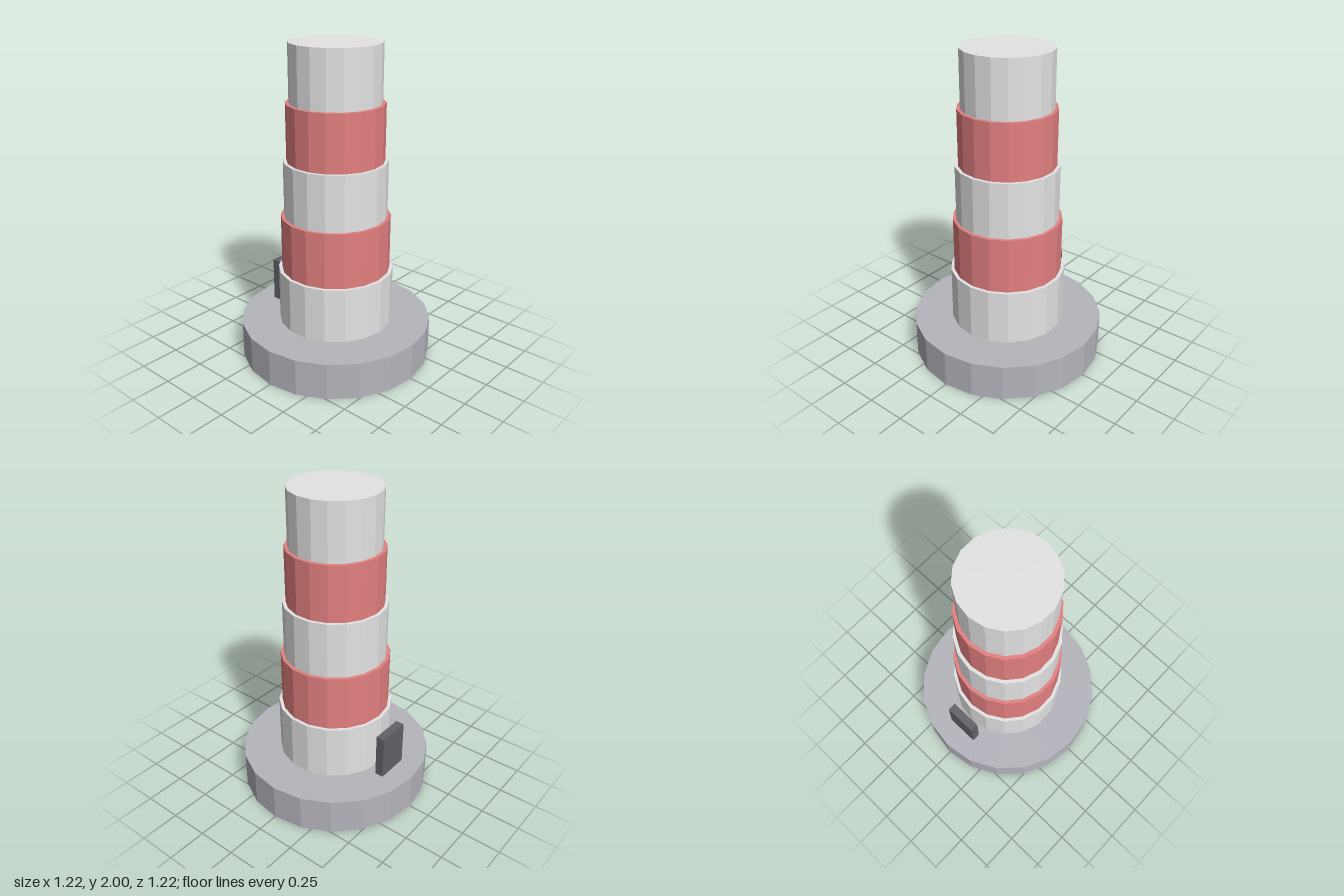
import * as THREE from 'three';

const material = (name, color) => {
  const m = new THREE.MeshStandardMaterial({ color, flatShading: true });
  m.name = name;
  return m;
};

export function createModel() {
  const group = new THREE.Group();
  group.name = 'lighthouse';
  const white = material('offWhite', 0xe4e4e4);
  const red = material('softRed', 0xe48080);
  const stone = material('stoneGrey', 0xb5b5bd);
  const dark = material('darkGrey', 0x636268);

  const add = (name, geometry, mat, y, z = 0) => {
    const mesh = new THREE.Mesh(geometry, mat);
    mesh.name = name;
    mesh.position.set(0, y, z);
    group.add(mesh);
  };

  // Round stone plinth
  const baseHeight = 0.235;
  add('base', new THREE.CylinderGeometry(0.612, 0.612, baseHeight, 20), stone, baseHeight / 2);

  // Five stacked drums, each a little narrower, in alternating colours
  const drumHeight = (2 - baseHeight) / 5;
  for (let i = 0; i < 5; i++) {
    const radius = 0.365 - i * 0.0213;
    add(`towerBand${i + 1}`, new THREE.CylinderGeometry(radius, radius, drumHeight, 18),
      i % 2 ? red : white, baseHeight + (i + 0.5) * drumHeight);
  }

  // Door slab standing on the plinth behind the tower
  const doorHeight = 0.285;
  add('door', new THREE.BoxGeometry(0.214, doorHeight, 0.056), dark,
    baseHeight + doorHeight / 2, -0.436);

  return group;
}
